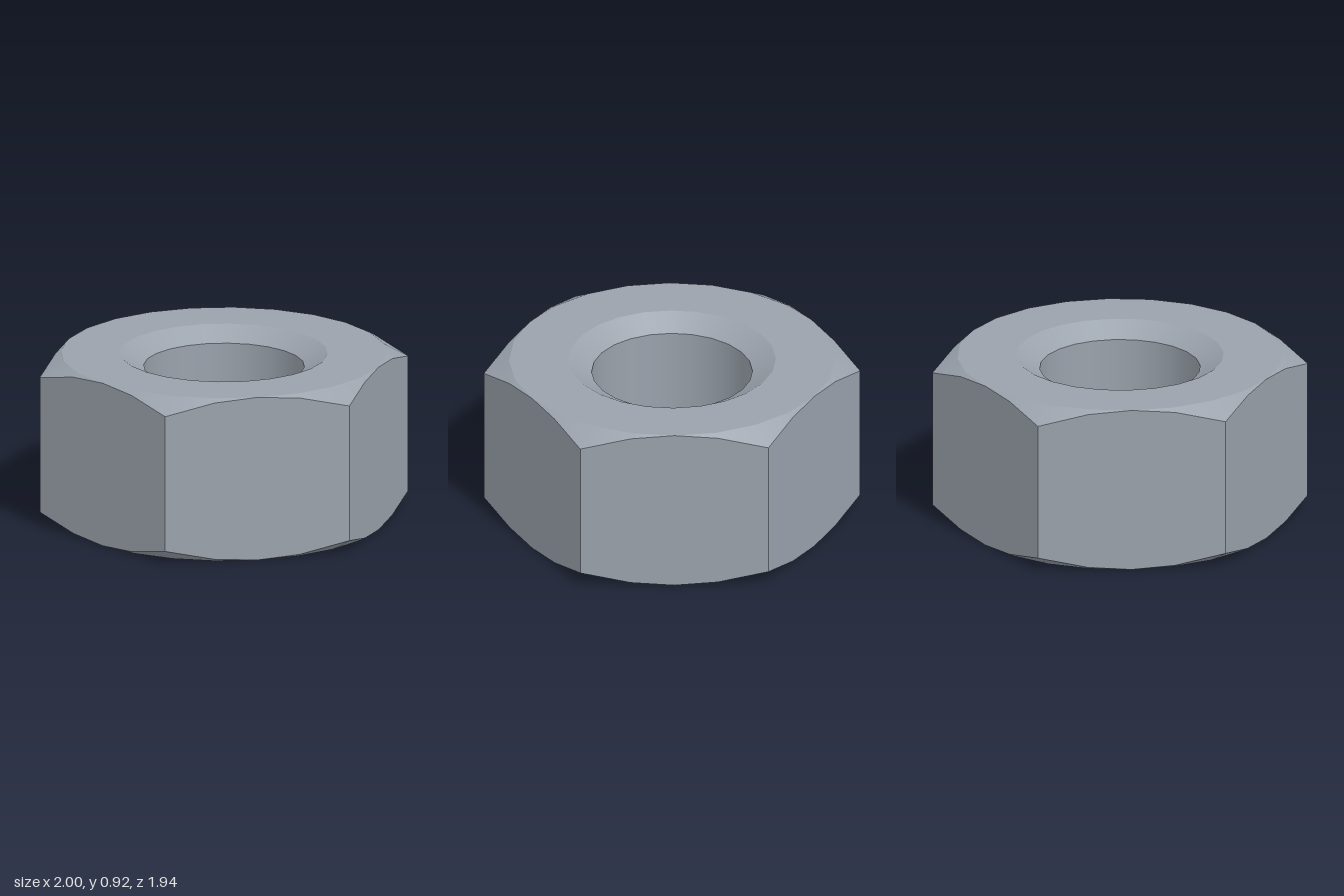
import * as THREE from 'three';

const SEGMENTS = 24;                    // four per hexagon side
const HEIGHT = 0.92;
const APOTHEM = 0.885;                  // centre to flat
const CORNER = APOTHEM / Math.cos(Math.PI / 6);
const HOLE = 0.437, MOUTH = 0.564;      // bore and countersink radii
const SLOPE = Math.tan(Math.PI / 6);    // 30 degree chamfers
const TURN = THREE.MathUtils.degToRad(18); // a corner's angle from +z towards +x

// Ring of faces between two [radius, y] profile points
const band = (a, b) => new THREE.LatheGeometry(
  [new THREE.Vector2(...a), new THREE.Vector2(...b)], SEGMENTS, TURN);

// Pulls a corner-radius ring onto the hexagon, keeping it on the chamfer cone
function fitHexagon(geometry) {
  const p = geometry.attributes.position;
  for (let i = 0; i < p.count; i++) {
    const x = p.getX(i), z = p.getZ(i);
    const r = Math.hypot(x, z);
    if (r < CORNER - 0.01) continue;
    const step = Math.floor(i / 2) % 4; // position along a hexagon side
    const fitted = APOTHEM / Math.cos((step - 2) * Math.PI / 12);
    const drop = (fitted - APOTHEM) * SLOPE;
    const y = p.getY(i) > HEIGHT / 2 ? HEIGHT - drop : drop;
    p.setXYZ(i, x * fitted / r, y, z * fitted / r);
  }
  return geometry;
}

export function createModel() {
  const steel = new THREE.MeshStandardMaterial({ color: 0x9aa2ac });
  steel.name = 'steel grey';
  const nut = new THREE.Group();
  nut.name = 'hexNut';
  const add = (name, geometry) => {
    const mesh = new THREE.Mesh(geometry, steel);
    mesh.name = name;
    nut.add(mesh);
  };

  const edge = (CORNER - APOTHEM) * SLOPE;  // chamfer drop at the corners
  const sink = (MOUTH - HOLE) * SLOPE;      // countersink depth

  // Six flat sides with arched edges
  const sides = fitHexagon(band([CORNER, edge], [CORNER, HEIGHT - edge])).toNonIndexed();
  sides.computeVertexNormals();
  add('hexSides', sides);

  // Corner chamfers
  add('topChamfer', fitHexagon(band([CORNER, HEIGHT - edge], [APOTHEM, HEIGHT])));
  add('bottomChamfer', fitHexagon(band([APOTHEM, 0], [CORNER, edge])));

  // Flat end faces
  add('topFace', band([APOTHEM, HEIGHT], [MOUTH, HEIGHT]));
  add('bottomFace', band([MOUTH, 0], [APOTHEM, 0]));

  // Countersunk through hole
  add('topCountersink', band([MOUTH, HEIGHT], [HOLE, HEIGHT - sink]));
  add('bore', band([HOLE, HEIGHT - sink], [HOLE, sink]));
  add('bottomCountersink', band([HOLE, sink], [MOUTH, 0]));

  return nut;
}
